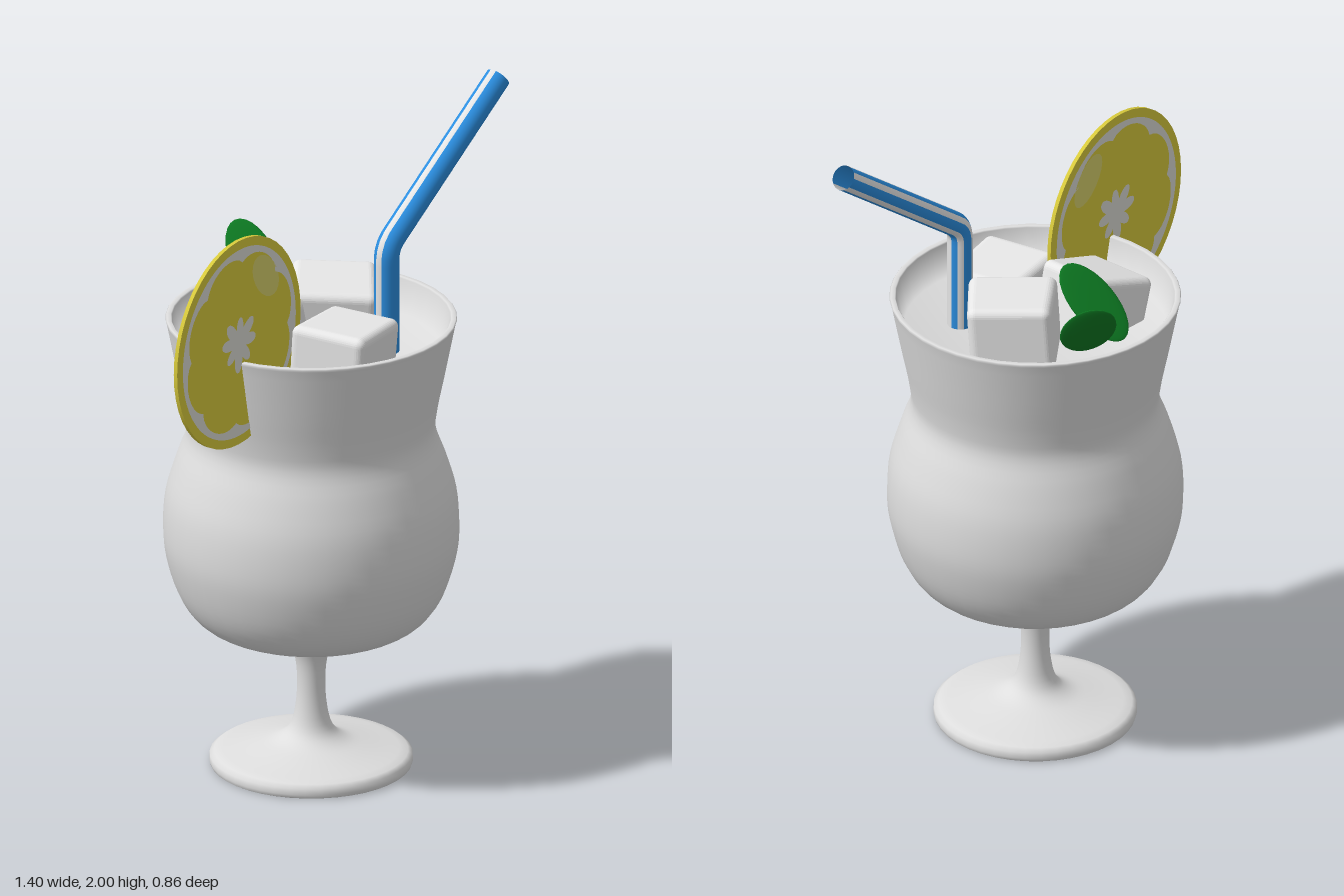
import * as THREE from 'three';
import { RoundedBoxGeometry } from 'three/addons/geometries/RoundedBoxGeometry.js';

const mat = (name, color, side = THREE.FrontSide) => {
  const m = new THREE.MeshStandardMaterial({ color, side });
  m.name = name;
  return m;
};

export function createModel() {
  const glass = mat('glass', 0xdedede);
  const ice = mat('ice', 0xe8e8e8);
  const yellow = mat('lemonYellow', 0xd9cb3c);
  const paleYellow = mat('paleYellow', 0xd8d06c, THREE.DoubleSide);
  const pith = mat('pithWhite', 0xdcdcd6, THREE.DoubleSide);
  const green = mat('mintGreen', 0x0d7a22);
  const blue = mat('strawBlue', 0x2b8ee0, THREE.DoubleSide);
  const white = mat('strawWhite', 0xe4e4e4, THREE.DoubleSide);

  const root = new THREE.Group();
  root.name = 'cocktail';
  const add = (name, geo, material, parent = root) => {
    const m = new THREE.Mesh(geo, material);
    m.name = name;
    parent.add(m);
    return m;
  };
  const v2 = ([x, y]) => new THREE.Vector2(x, y);

  // Glass: foot, stem and curvy bowl, then over the rim down to the drink surface
  const foot = [[0, 0], [0.288, 0], [0.291, 0.002], [0.294, 0.012], [0.293, 0.03], [0.28, 0.04]];
  const body = new THREE.SplineCurve([
    [0.255, 0.045], [0.17, 0.062], [0.1, 0.082], [0.06, 0.12], [0.043, 0.2], [0.042, 0.29],
    [0.053, 0.35], [0.075, 0.385], [0.14, 0.402], [0.26, 0.428], [0.335, 0.468], [0.385, 0.54],
    [0.417, 0.64], [0.428, 0.73], [0.42, 0.84], [0.39, 0.945], [0.36, 1.03], [0.364, 1.1],
    [0.386, 1.21], [0.418, 1.372],
  ].map(v2)).getPoints(72);
  const inside = [[0.421, 1.378], [0.418, 1.382], [0.405, 1.382], [0.402, 1.378], [0.38, 1.28], [0, 1.275]];
  add('glass', new THREE.LatheGeometry([...foot.map(v2), ...body, ...inside.map(v2)], 40), glass)
    .position.x = 0.035;

  // Ice cubes with softened, slightly uneven faces
  const iceCube = (name, size, pos, rot) => {
    const geo = new RoundedBoxGeometry(size, size, size, 4, 0.025);
    const p = geo.attributes.position;
    for (let i = 0; i < p.count; i++) {
      const x = p.getX(i), y = p.getY(i), z = p.getZ(i);
      p.setXYZ(i, x * (1 + 0.25 * y), y * (1 + 0.3 * z), z * (1 - 0.25 * x));
    }
    geo.computeVertexNormals();
    const m = add(name, geo, ice);
    m.position.set(...pos);
    m.rotation.set(...rot, 'YXZ');
  };
  iceCube('iceCubeLeft', 0.25, [0.175, 1.33, -0.04], [0.07, 0.68, 0.07]);
  iceCube('iceCubeFront', 0.235, [-0.01, 1.3, 0.16], [0.05, 0.17, -0.04]);
  iceCube('iceCubeBack', 0.235, [-0.105, 1.315, -0.09], [0.05, 0, 0.33]);

  // Lemon slice standing on the rim
  const lemon = new THREE.Group();
  lemon.name = 'lemonSlice';
  lemon.position.set(-0.39, 1.45, 0.073);
  lemon.rotation.y = 0.087;
  root.add(lemon);
  add('lemonDisc', new THREE.CylinderGeometry(0.315, 0.315, 0.012, 48).rotateX(Math.PI / 2), yellow, lemon);
  const polar = (fn, n = 96) => Array.from({ length: n }, (_, i) => {
    const a = (i / n) * Math.PI * 2, r = fn(a);
    return new THREE.Vector2(r * Math.cos(a), r * Math.sin(a));
  });
  const ring = new THREE.Shape(polar(() => 0.288));
  ring.holes.push(new THREE.Path(polar(a => 0.238 + 0.032 * Math.sqrt(Math.abs(Math.sin(4 * a + 0.3))))));
  const star = new THREE.Shape(polar(a => 0.045 + 0.04 * Math.abs(Math.cos(4 * a + 0.3)) + 0.008 * Math.sin(3 * a)));
  for (const [side, z] of [['Front', 0.0075], ['Back', -0.0075]]) {
    add('pithRing' + side, new THREE.ShapeGeometry(ring), pith, lemon).position.z = z;
    add('pithCore' + side, new THREE.ShapeGeometry(star), pith, lemon).position.z = z;
    const seg = add('paleSegment' + side, new THREE.CircleGeometry(1, 20), paleYellow, lemon);
    seg.scale.set(0.085, 0.05, 1);
    seg.rotation.z = -0.85;
    seg.position.set(0.135, 0.165, z);
  }

  // Mint leaves: flat ovals set by their long axis and facing direction
  const leaf = (name, pos, along, facing) => {
    const long = new THREE.Vector3(...along).normalize();
    const across = long.clone().cross(new THREE.Vector3(...facing)).normalize();
    const m = add(name, new THREE.SphereGeometry(1, 20, 14).scale(0.068, 0.138, 0.008), green);
    m.quaternion.setFromRotationMatrix(
      new THREE.Matrix4().makeBasis(across, long, across.clone().cross(long)));
    m.position.set(...pos);
  };
  leaf('mintLeafFront', [0.022, 1.43, -0.215], [0.21, 0.71, 0.67], [0.33, 0.585, -0.73]);
  leaf('mintLeafBack', [0.16, 1.432, -0.315], [0.14, 0.75, -0.65], [-0.757, 0.5, 0.417]);

  // Bent straw with lengthwise white stripes
  const P = (x, y) => new THREE.Vector3(x, y, 0.172);
  const path = new THREE.CurvePath();
  path.add(new THREE.LineCurve3(P(0.168, 1.1), P(0.168, 1.56)));
  path.add(new THREE.QuadraticBezierCurve3(P(0.168, 1.56), P(0.168, 1.6), P(0.2, 1.623)));
  path.add(new THREE.LineCurve3(P(0.2, 1.623), P(0.674, 1.97)));
  const sides = 24;
  const tube = new THREE.TubeGeometry(path, 60, 0.037, sides, false);
  const striped = new Set([5, 6, 9, 10, 14, 15, 18, 19, 20]);
  const faces = [[], []];
  tube.index.array.forEach((v, i) => {
    faces[striped.has(Math.floor(i / 6) % sides) ? 1 : 0].push(v);
  });
  tube.setIndex([...faces[0], ...faces[1]]);
  tube.addGroup(0, faces[0].length, 0);
  tube.addGroup(faces[0].length, faces[1].length, 1);
  add('straw', tube, [blue, white]);

  return root;
}
